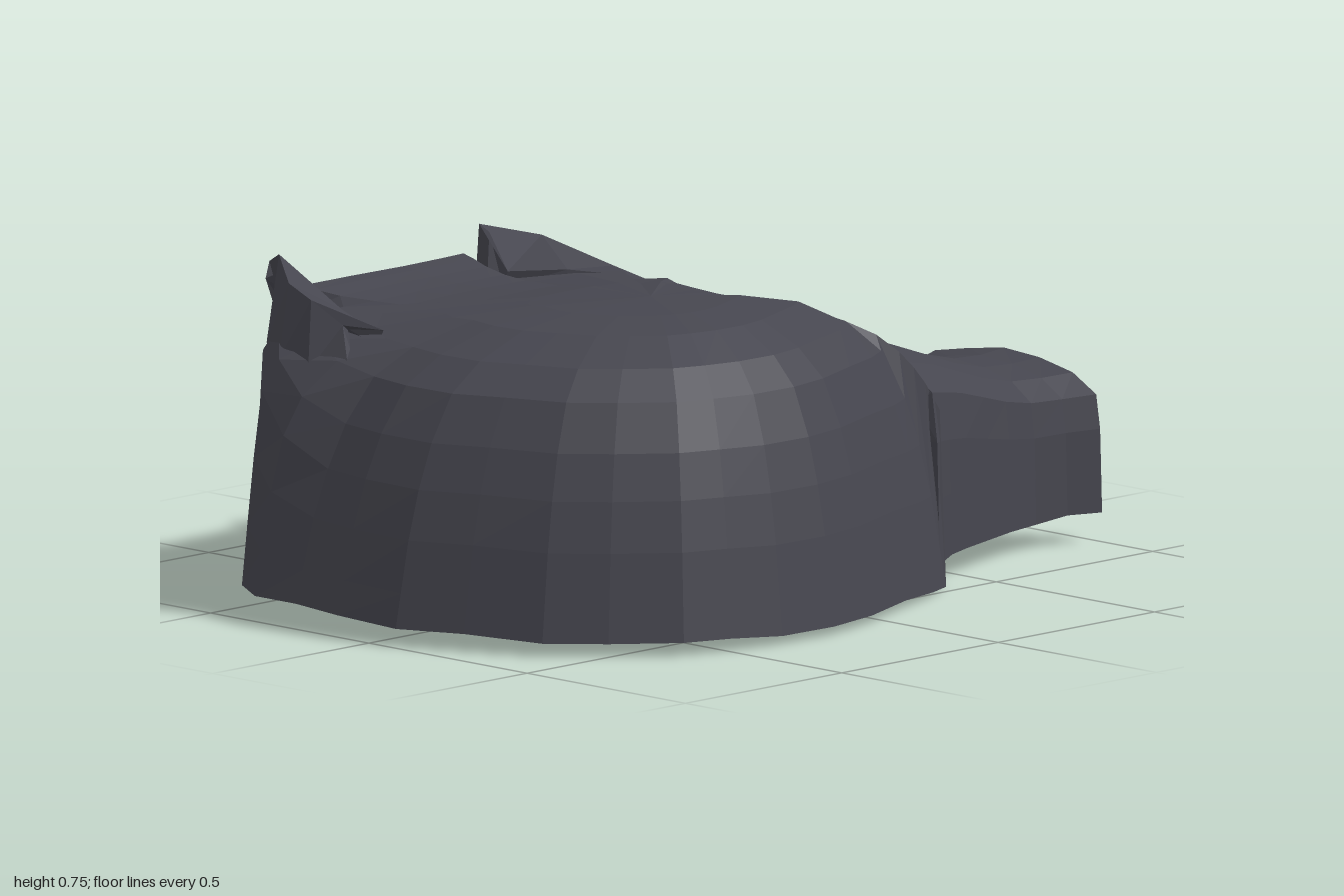
import * as THREE from 'three';

const charcoal = new THREE.MeshStandardMaterial({ color: 0x46464f, flatShading: true, side: THREE.DoubleSide });
charcoal.name = 'charcoal';

// Thick faceted sheet from a grid of points: columns[i][j] = [x, y, z]
function shell(name, columns, closed = false, thickness = 0.04) {
  const n = columns.length, m = columns[0].length, outer = columns.flat(2), index = [];
  const quad = (a, b, c, d) => index.push(a, b, c, a, c, d);
  const at = (i, j) => (i % n) * m + j;
  const spans = closed ? n : n - 1;
  for (let i = 0; i < spans; i++)
    for (let j = 0; j < m - 1; j++) quad(at(i, j), at(i + 1, j), at(i + 1, j + 1), at(i, j + 1));

  // Inner lining follows the outer normals
  const skin = new THREE.BufferGeometry();
  skin.setAttribute('position', new THREE.Float32BufferAttribute(outer, 3));
  skin.setIndex([...index]);
  skin.computeVertexNormals();
  const normals = skin.attributes.normal.array;
  const inner = outer.map((v, k) => (k % 3 === 1 ? Math.max(0, v - normals[k] * thickness) : v - normals[k] * thickness));
  const o = n * m, count = index.length;
  for (let k = 0; k < count; k += 3) index.push(index[k] + o, index[k + 2] + o, index[k + 1] + o);

  // Rims joining both skins
  for (let i = 0; i < spans; i++) {
    quad(at(i, m - 1), at(i + 1, m - 1), at(i + 1, m - 1) + o, at(i, m - 1) + o);
    if (!closed) quad(at(i + 1, 0), at(i, 0), at(i, 0) + o, at(i + 1, 0) + o);
  }
  if (!closed) for (let j = 0; j < m - 1; j++) {
    quad(at(0, j), at(0, j + 1), at(0, j + 1) + o, at(0, j) + o);
    quad(at(n - 1, j + 1), at(n - 1, j), at(n - 1, j) + o, at(n - 1, j + 1) + o);
  }
  const geometry = new THREE.BufferGeometry();
  geometry.setAttribute('position', new THREE.Float32BufferAttribute([...outer, ...inner], 3));
  geometry.setIndex(index);
  geometry.computeVertexNormals();
  const mesh = new THREE.Mesh(geometry, charcoal);
  mesh.name = name;
  return mesh;
}

// Crown-to-rim profiles: [fraction of the way out, fraction of the drop left]
const round = [[0, 1], [0.3, 0.99], [0.5, 0.96], [0.67, 0.88], [0.78, 0.785], [0.86, 0.625], [0.91, 0.47],
  [0.95, 0.3], [0.98, 0.12], [1, 0]];
const wall = [[0, 1], [0.3, 0.975], [0.5, 0.945], [0.67, 0.92], [0.82, 0.9], [0.93, 0.87], [0.97, 0.78],
  [0.98, 0.52], [0.99, 0.25], [1, 0]];
const lip = [[0, 1], [0.3, 0.92], [0.5, 0.78], [0.67, 0.72], [0.78, 0.72], [0.88, 0.76], [0.95, 0.82],
  [1, 0.85], [1, 0.4], [1, 0]];
const passage = [[0, 1], [0.3, 0.9], [0.5, 0.72], [0.67, 0.5], [0.78, 0.34], [0.86, 0.22], [0.91, 0.14],
  [0.95, 0.08], [0.98, 0.03], [1, 0]];
const blend = (p, q, t) => p.map((a, i) => a.map((v, k) => v + (q[i][k] - v) * t));
const side = blend(round, passage, 0.4);

// Dome: rim stations [x, z, bottom y, profile] joined to the crown
function dome() {
  const rim = [
    [0.46, -0.38, 0], [0.52, -0.28, 0.01], [0.58, -0.13, 0.02], [0.65, 0.05, 0.02], [0.68, 0.2, 0.02],
    [0.675, 0.36, 0.02], [0.65, 0.5, 0.03], [0.61, 0.61, 0.03], [0.5, 0.74, 0.03], [0.39, 0.84, 0.03],
    [0.22, 0.92, 0.04], [0.07, 0.985, 0.04], [-0.1, 1, 0.05], [-0.26, 0.97, 0.05],
    [-0.39, 0.97, 0.05, blend(round, wall, 0.3)], [-0.5, 0.9, 0.05, blend(round, wall, 0.7)],
    [-0.61, 0.76, 0.05, wall], [-0.67, 0.62, 0.06, wall],
    // lipped edge over the side opening
    [-0.64, 0.58, 0.52, lip], [-0.63, 0.42, 0.54, lip], [-0.62, 0.26, 0.55, lip], [-0.63, 0.12, 0.54, lip], [-0.64, 0.05, 0.53, lip],
    // wall behind the opening
    [-0.64, 0.02, 0.04, wall], [-0.63, -0.2, 0.03, wall], [-0.49, -0.29, 0.04, wall], [-0.36, -0.37, 0.05, blend(round, wall, 0.4)],
    // passage into the neck
    [-0.32, -0.39, 0.4, side], [-0.2, -0.39, 0.5, blend(side, passage, 0.6)], [-0.05, -0.39, 0.53, passage],
    [0.1, -0.39, 0.535, passage], [0.24, -0.39, 0.52, passage], [0.35, -0.39, 0.48, blend(side, passage, 0.4)],
    [0.43, -0.39, 0.4, side],
  ];
  const crown = [0.1, 0.2], top = 0.697;
  return shell('dome', rim.map(([x, z, bottom, profile = round]) => profile.map(([f, h]) => [
    crown[0] + (x - crown[0]) * f, bottom + h * (top - bottom), crown[1] + (z - crown[1]) * f,
  ])), true, 0.045);
}

// Neck: boxy arched sections [z, x right, x left, top y, bottom y], flared at the end
function neck() {
  const sections = [[-0.37, -0.36, 0.45, 0.54, 0.05], [-0.44, -0.34, 0.42, 0.52, 0.06], [-0.52, -0.3, 0.39, 0.5, 0.06],
    [-0.62, -0.25, 0.36, 0.465, 0.06], [-0.72, -0.23, 0.33, 0.43, 0.06], [-0.82, -0.21, 0.31, 0.405, 0.06],
    [-0.91, -0.23, 0.32, 0.4, 0.07], [-0.99, -0.27, 0.35, 0.405, 0.07]];
  const half = [[1, 0], [0.99, 0.3], [0.98, 0.57], [0.94, 0.8], [0.7, 0.92], [0.36, 0.98]];
  const arch = [...half, [0, 1], ...half.map(([u, v]) => [-u, v * 0.97]).reverse()];
  return shell('neck', sections.map(([z, a, b, top, low]) => arch.map(([u, v]) => [
    (a + b) / 2 + u * (b - a) / 2, low + v * (top - low), z,
  ])), false, 0.045);
}

// Raised rim in front of the side opening, rising out of the wall
function frontFlap() {
  return shell('frontFlap', [
    [[-0.65, 0.5, 0.6], [-0.665, 0.58, 0.61], [-0.68, 0.73, 0.63], [-0.61, 0.66, 0.56]],
    [[-0.57, 0.5, 0.7], [-0.59, 0.57, 0.73], [-0.63, 0.755, 0.65], [-0.55, 0.66, 0.59]],
    [[-0.47, 0.5, 0.78], [-0.48, 0.56, 0.8], [-0.5, 0.72, 0.75], [-0.45, 0.65, 0.63]],
    [[-0.36, 0.5, 0.82], [-0.36, 0.55, 0.83], [-0.38, 0.705, 0.8], [-0.36, 0.65, 0.68]],
    [[-0.24, 0.52, 0.82], [-0.24, 0.55, 0.82], [-0.32, 0.65, 0.76], [-0.25, 0.64, 0.7]],
  ]);
}

// Wall turned inward along the front edge of the opening
function frontFlange() {
  return shell('frontFlange', [
    [[-0.5, 0.13, 0.59], [-0.52, 0.3, 0.57], [-0.55, 0.5, 0.55], [-0.56, 0.63, 0.54]],
    [[-0.66, 0.07, 0.62], [-0.66, 0.3, 0.61], [-0.66, 0.5, 0.61], [-0.66, 0.66, 0.6]],
  ]);
}

// Raised collar behind the side opening, overhanging the wall
function rearFlap() {
  return shell('rearFlap', [
    [[-0.5, 0.65, 0.05], [-0.65, 0.73, -0.01], [-0.65, 0.5, 0.01], [-0.64, 0.3, 0.02]],
    [[-0.42, 0.65, -0.06], [-0.64, 0.68, -0.2], [-0.64, 0.42, -0.22], [-0.63, 0.2, -0.2]],
    [[-0.34, 0.63, -0.18], [-0.63, 0.58, -0.42], [-0.63, 0.4, -0.39], [-0.52, 0.2, -0.28]],
    [[-0.27, 0.6, -0.26], [-0.4, 0.56, -0.38], [-0.42, 0.4, -0.37], [-0.42, 0.2, -0.33]],
    [[-0.2, 0.57, -0.3], [-0.25, 0.55, -0.35], [-0.31, 0.42, -0.38], [-0.35, 0.25, -0.38]],
  ]);
}

export function createModel() {
  const model = new THREE.Group();
  model.name = 'hoodShell';
  model.add(dome(), neck(), frontFlap(), frontFlange(), rearFlap());
  return model;
}
